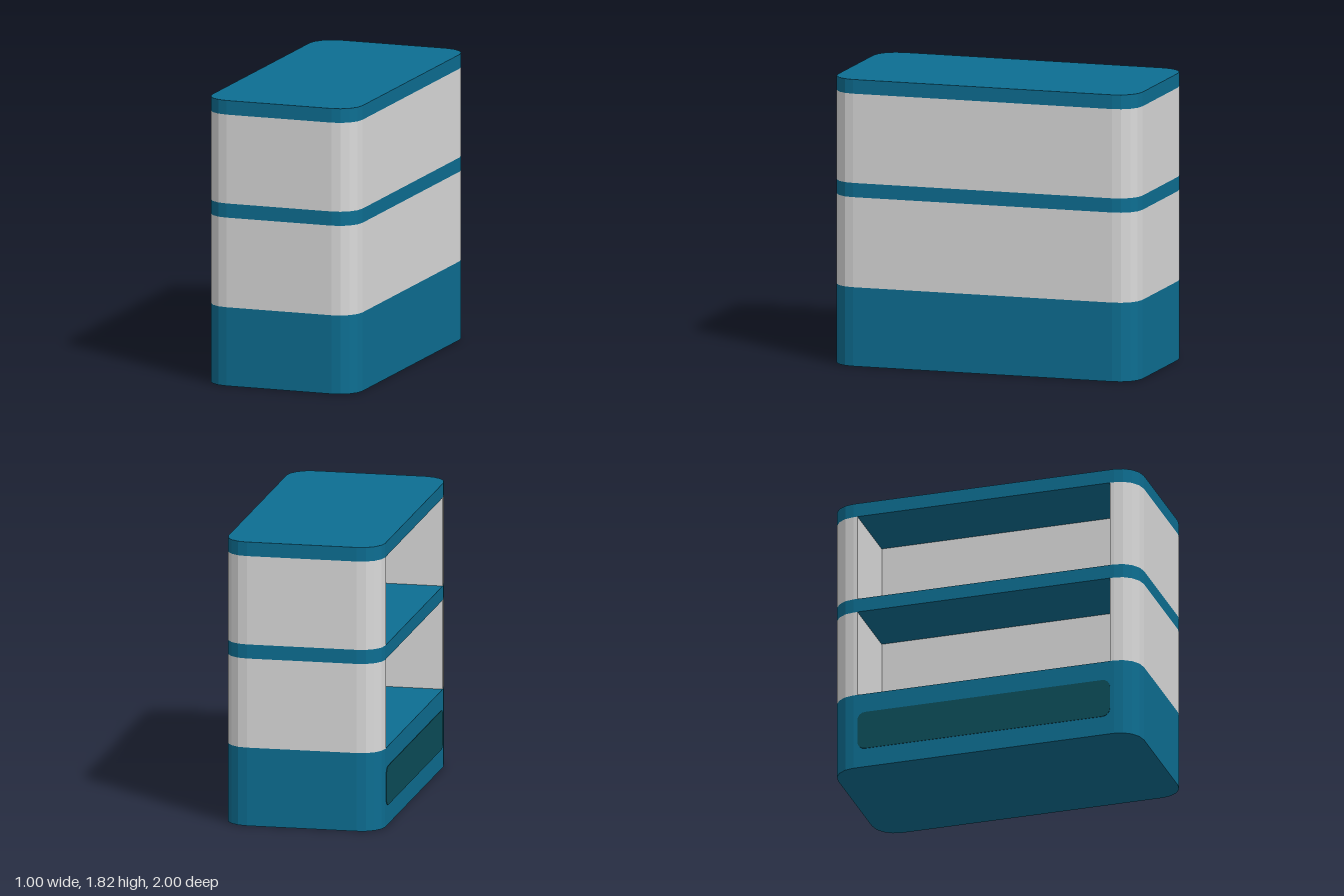
import * as THREE from 'three';

const blue = new THREE.MeshStandardMaterial({ color: 0x0d6e92 });
blue.name = 'blue';
const grey = new THREE.MeshStandardMaterial({ color: 0xdadada });
grey.name = 'light grey';
const dark = new THREE.MeshStandardMaterial({ color: 0x0b4d5a });
dark.name = 'dark teal';

// Points of a rounded rectangle, counterclockwise, starting at the +x edge
// and ending on it; each corner has the given number of facets.
function roundedRect(halfW, halfH, r, facets) {
  const pts = [];
  [[1, 1], [-1, 1], [-1, -1], [1, -1]].forEach(([sx, sy], corner) => {
    for (let i = 0; i <= facets; i++) {
      const a = (corner + i / facets) * Math.PI / 2;
      pts.push(new THREE.Vector2(
        sx * (halfW - r) + r * Math.cos(a),
        sy * (halfH - r) + r * Math.sin(a)));
    }
  });
  return pts;
}

// Stands a plan outline up between two heights.
function layer(name, points, y0, y1, material) {
  const geo = new THREE.ExtrudeGeometry(new THREE.Shape(points), { depth: y1 - y0, bevelEnabled: false });
  geo.rotateX(-Math.PI / 2).translate(0, y0, 0);
  const mesh = new THREE.Mesh(geo, material);
  mesh.name = name;
  return mesh;
}

export function createModel() {
  const group = new THREE.Group();
  group.name = 'shelfCabinet';

  const facets = 4;
  const plan = roundedRect(0.5, 1, 0.15, facets);

  // Plan of the grey body, with a shelf recess cut into the -x side
  const recess = [[-0.5, 0.825], [0, 0.825], [0, -0.825], [-0.5, -0.825]].map(p => new THREE.Vector2(...p));
  const half = 2 * (facets + 1);
  const body = [...plan.slice(0, half), ...recess, ...plan.slice(half)];

  // Blue base and slabs, with grey bodies between them
  group.add(
    layer('base', plan, 0, 0.5, blue),
    layer('lowerBody', body, 0.5, 1.07, grey),
    layer('middleShelf', plan, 1.07, 1.16, blue),
    layer('upperBody', body, 1.16, 1.725, grey),
    layer('top', plan, 1.725, 1.815, blue),
  );

  // Dark kick panel on the base, below the shelves
  const panelGeo = new THREE.ExtrudeGeometry(
    new THREE.Shape(roundedRect(0.825, 0.125, 0.05, facets)),
    { depth: 0.004, bevelEnabled: false });
  panelGeo.rotateY(-Math.PI / 2).translate(-0.499, 0.25, 0);
  const panel = new THREE.Mesh(panelGeo, dark);
  panel.name = 'kickPanel';
  group.add(panel);

  return group;
}
